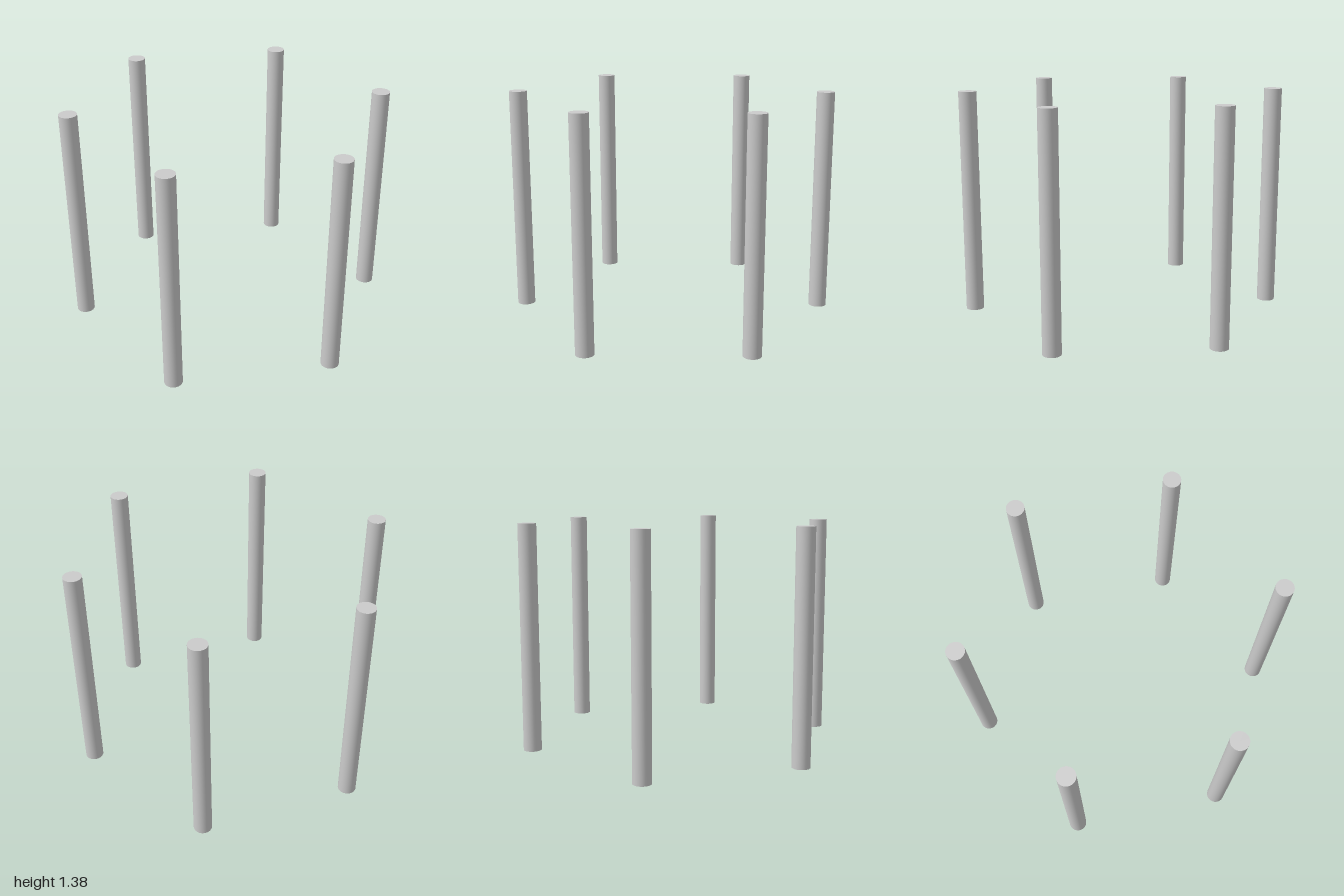
import * as THREE from 'three';

const COLUMN_COUNT = 6;
const COLUMN_RADIUS = 0.055;
const COLUMN_HEIGHT = 1.38;
const RING_RADIUS = 1 - COLUMN_RADIUS;

export function createModel() {
  const model = new THREE.Group();
  model.name = 'columnRing';

  const material = new THREE.MeshStandardMaterial({ color: 0xcccccc });
  const geometry = new THREE.CylinderGeometry(COLUMN_RADIUS, COLUMN_RADIUS, COLUMN_HEIGHT, 32);
  geometry.translate(0, COLUMN_HEIGHT / 2, 0);

  // Identical round columns, evenly spaced on a circle
  for (let i = 0; i < COLUMN_COUNT; i++) {
    const angle = (i / COLUMN_COUNT) * Math.PI * 2;
    const column = new THREE.Mesh(geometry, material);
    column.name = `column${i + 1}`;
    column.position.set(Math.cos(angle) * RING_RADIUS, 0, Math.sin(angle) * RING_RADIUS);
    model.add(column);
  }

  return model;
}
